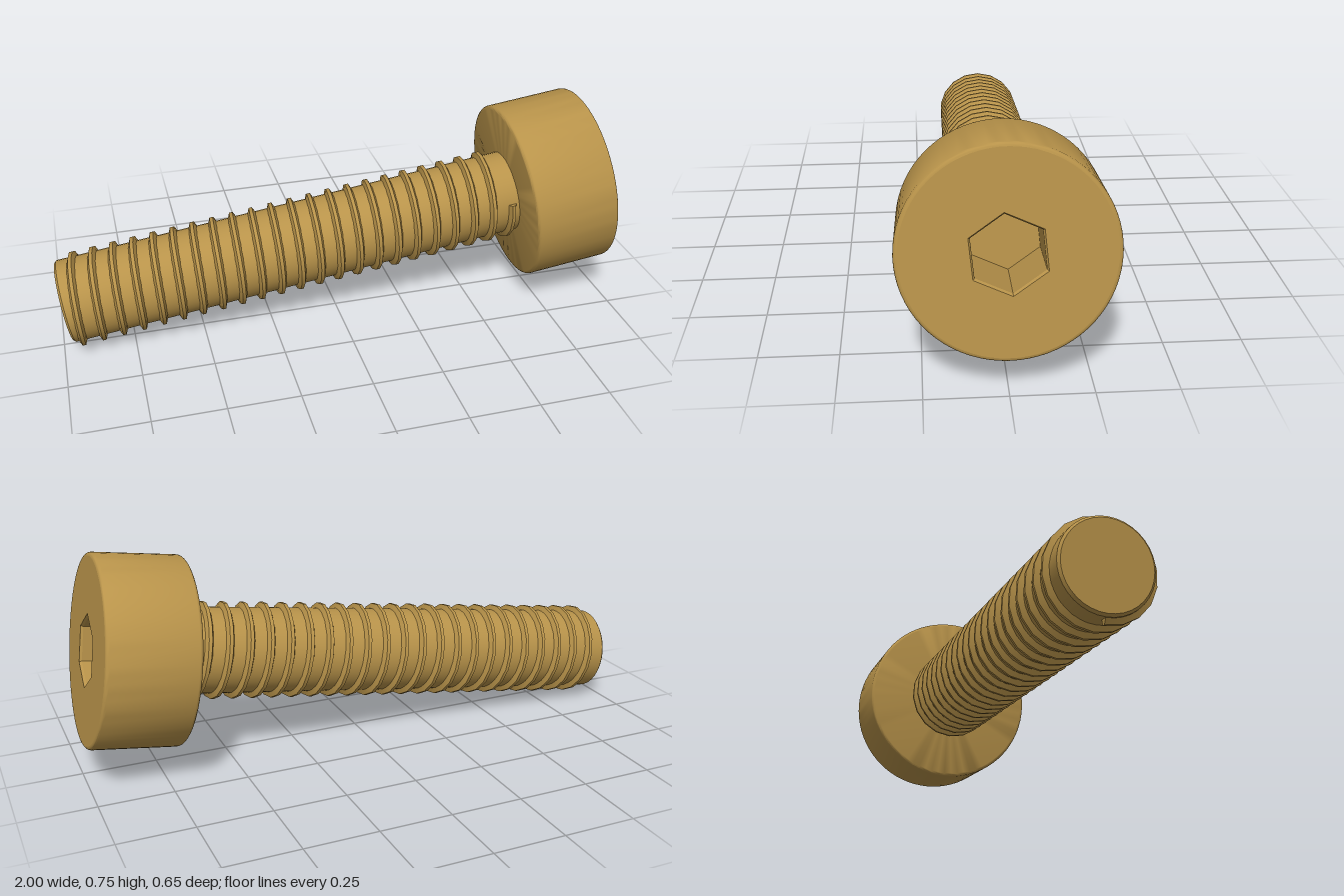
import * as THREE from 'three';
import { toCreasedNormals } from 'three/addons/utils/BufferGeometryUtils.js';

const TIP = new THREE.Vector3(-0.979, 0.16, -0.027);
const FACE = new THREE.Vector3(0.955, 0.431, 0.002);
const LENGTH = TIP.distanceTo(FACE);
const HEAD_R = 0.322, HEAD_H = 0.303, SHAFT_R = 0.148;
const HEX_R = 0.118, HEX_DEPTH = 0.2, HEX_RIM = 0.124, HEX_TURN = Math.PI - 0.1;

const material = new THREE.MeshStandardMaterial({ color: 0xb8934a });

function lathe(points, segments, phiStart = 0, crease = 0.6) {
  const profile = points.map(([r, y]) => new THREE.Vector2(r, y));
  return toCreasedNormals(new THREE.LatheGeometry(profile, segments, phiStart), crease);
}

// Helical ridge swept around +y, closed at both ends
function threadGeometry(start, pitch, turns, steps) {
  const section = [[0.14, -0.018], [0.167, -0.006], [0.167, 0.006], [0.14, 0.018]];
  const n = section.length, count = Math.round(turns * steps);
  const pos = [], index = [];
  for (let i = 0; i <= count; i++) {
    const a = (i / steps) * Math.PI * 2;
    for (const [r, h] of section) {
      pos.push(r * Math.cos(a), start + (pitch * i) / steps + h, r * Math.sin(a));
    }
    if (i === count) break;
    for (let k = 0; k < n; k++) {
      const k2 = (k + 1) % n;
      const p = i * n + k, q = i * n + k2;
      index.push(p, q, p + n, q, q + n, p + n);
    }
  }
  const e = count * n;
  index.push(0, 2, 1, 0, 3, 2, e, e + 1, e + 2, e, e + 2, e + 3);
  const g = new THREE.BufferGeometry();
  g.setAttribute('position', new THREE.Float32BufferAttribute(pos, 3));
  g.setIndex(index);
  return toCreasedNormals(g, 0.5);
}

// Flat head face with a hexagonal opening
function headFaceGeometry(radius) {
  const shape = new THREE.Shape().absarc(0, 0, radius, 0, Math.PI * 2);
  const corners = [];
  for (let k = 0; k < 6; k++) {
    const a = HEX_TURN + (k * Math.PI) / 3;
    corners.push(new THREE.Vector2(HEX_RIM * Math.cos(a), -HEX_RIM * Math.sin(a)));
  }
  shape.holes.push(new THREE.Path(corners));
  return new THREE.ShapeGeometry(shape, 36).rotateX(-Math.PI / 2);
}

export function createModel() {
  const model = new THREE.Group();
  model.name = 'socketScrew';
  const screw = new THREE.Group();
  screw.name = 'screwBody';
  model.add(screw);

  const add = (name, geometry) => {
    const mesh = new THREE.Mesh(geometry, material);
    mesh.name = name;
    screw.add(mesh);
  };

  const under = LENGTH - HEAD_H, f = 0.012;

  // Shaft with a small chamfer at the tip
  add('shaft', lathe([[0, 0], [SHAFT_R - 0.008, 0], [SHAFT_R, 0.008], [SHAFT_R, under + 0.01]], 36));

  add('thread', threadGeometry(0.025, 0.0718, 22.28, 18));

  // Head with rounded edges
  const head = [[0, under]];
  for (let i = 0; i <= 4; i++) {
    const a = (i / 4) * Math.PI / 2;
    head.push([HEAD_R - f + f * Math.sin(a), under + f - f * Math.cos(a)]);
  }
  for (let i = 0; i <= 4; i++) {
    const a = (i / 4) * Math.PI / 2;
    head.push([HEAD_R - f + f * Math.cos(a), LENGTH - f + f * Math.sin(a)]);
  }
  add('head', lathe(head, 72));
  add('headFace', headFaceGeometry(HEAD_R - f).translate(0, LENGTH, 0));

  // Hex socket: chamfered rim, walls and floor
  add('hexSocket', lathe([
    [HEX_RIM, LENGTH], [HEX_R, LENGTH - 0.008], [HEX_R, LENGTH - HEX_DEPTH], [0, LENGTH - HEX_DEPTH],
  ], 6, Math.PI / 2 - HEX_TURN, 0.3));

  // Lay the screw from its tip to the head face
  const axis = FACE.clone().sub(TIP).normalize();
  const side = new THREE.Vector3(0, 0, 1).addScaledVector(axis, -axis.z).normalize();
  const down = new THREE.Vector3().crossVectors(axis, side);
  screw.quaternion.setFromRotationMatrix(new THREE.Matrix4().makeBasis(down, axis, side));
  screw.position.copy(TIP);
  return model;
}
